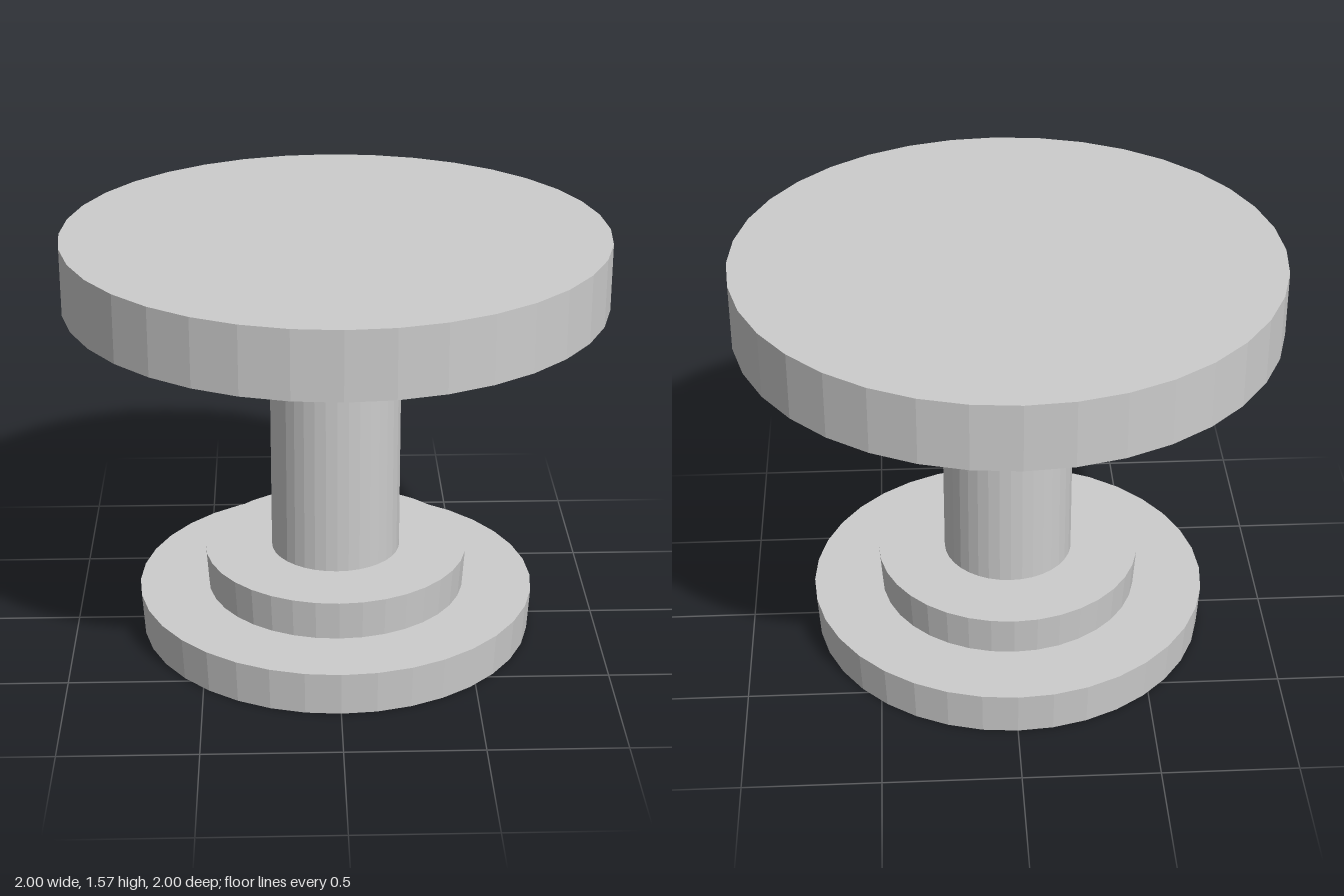
import * as THREE from 'three';

const SIDES = 36;

export function createModel() {
  const model = new THREE.Group();
  const grey = new THREE.MeshStandardMaterial({ color: 0xcccccc, flatShading: true });
  grey.name = 'light grey';

  // Stacked discs: name, top radius, bottom radius, bottom y, top y
  const parts = [
    ['basePlate', 0.755, 0.745, 0, 0.165],
    ['baseStep', 0.5, 0.49, 0.165, 0.315],
    ['column', 0.245, 0.245, 0.315, 1.32],
    ['tableTop', 1, 1, 1.32, 1.57],
  ];

  for (const [name, topRadius, bottomRadius, y0, y1] of parts) {
    const geometry = new THREE.CylinderGeometry(topRadius, bottomRadius, y1 - y0, SIDES);
    const mesh = new THREE.Mesh(geometry, grey);
    mesh.name = name;
    mesh.position.y = (y0 + y1) / 2;
    model.add(mesh);
  }
  return model;
}
